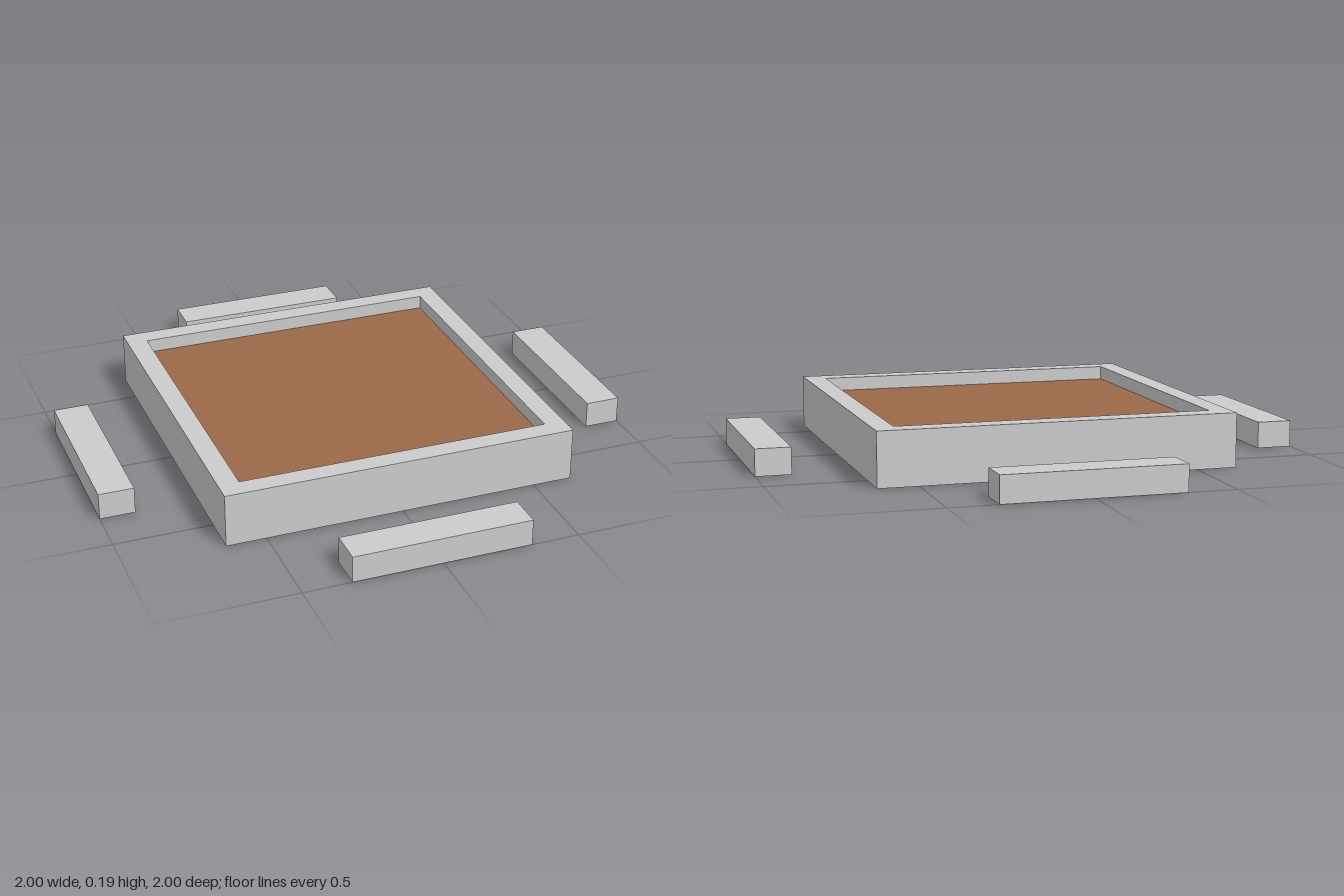
import * as THREE from 'three';

export function createModel() {
  const group = new THREE.Group();
  const grey = new THREE.MeshStandardMaterial({ color: 0xcccccc, flatShading: true });
  const brown = new THREE.MeshStandardMaterial({ color: 0x9b6848 });

  const outer = 0.645, inner = 0.57, height = 0.195, soilY = 0.145;

  // Square tray: closed floor, outer walls, rim and inner walls swept around four sides
  const profile = [[0, 0], [outer, 0], [outer, height], [inner, height], [inner, soilY]]
    .map(([r, y]) => new THREE.Vector2(r * Math.SQRT2, y));
  const tray = new THREE.Mesh(new THREE.LatheGeometry(profile, 4, Math.PI / 4), grey);
  tray.name = 'tray';
  group.add(tray);

  // Sunken filling inside the rim
  const filling = new THREE.Mesh(new THREE.PlaneGeometry(inner * 2, inner * 2), brown);
  filling.name = 'filling';
  filling.rotation.x = -Math.PI / 2;
  filling.position.y = soilY;
  group.add(filling);

  // One low bench facing each side
  const benchGeometry = new THREE.BoxGeometry(0.65, 0.097, 0.128);
  ['front', 'left', 'back', 'right'].forEach((side, i) => {
    const angle = i * Math.PI / 2;
    const bench = new THREE.Mesh(benchGeometry, grey);
    bench.name = side + 'Bench';
    bench.rotation.y = angle;
    bench.position.set(Math.sin(angle) * 0.936, 0.0485, Math.cos(angle) * 0.936);
    group.add(bench);
  });

  return group;
}
